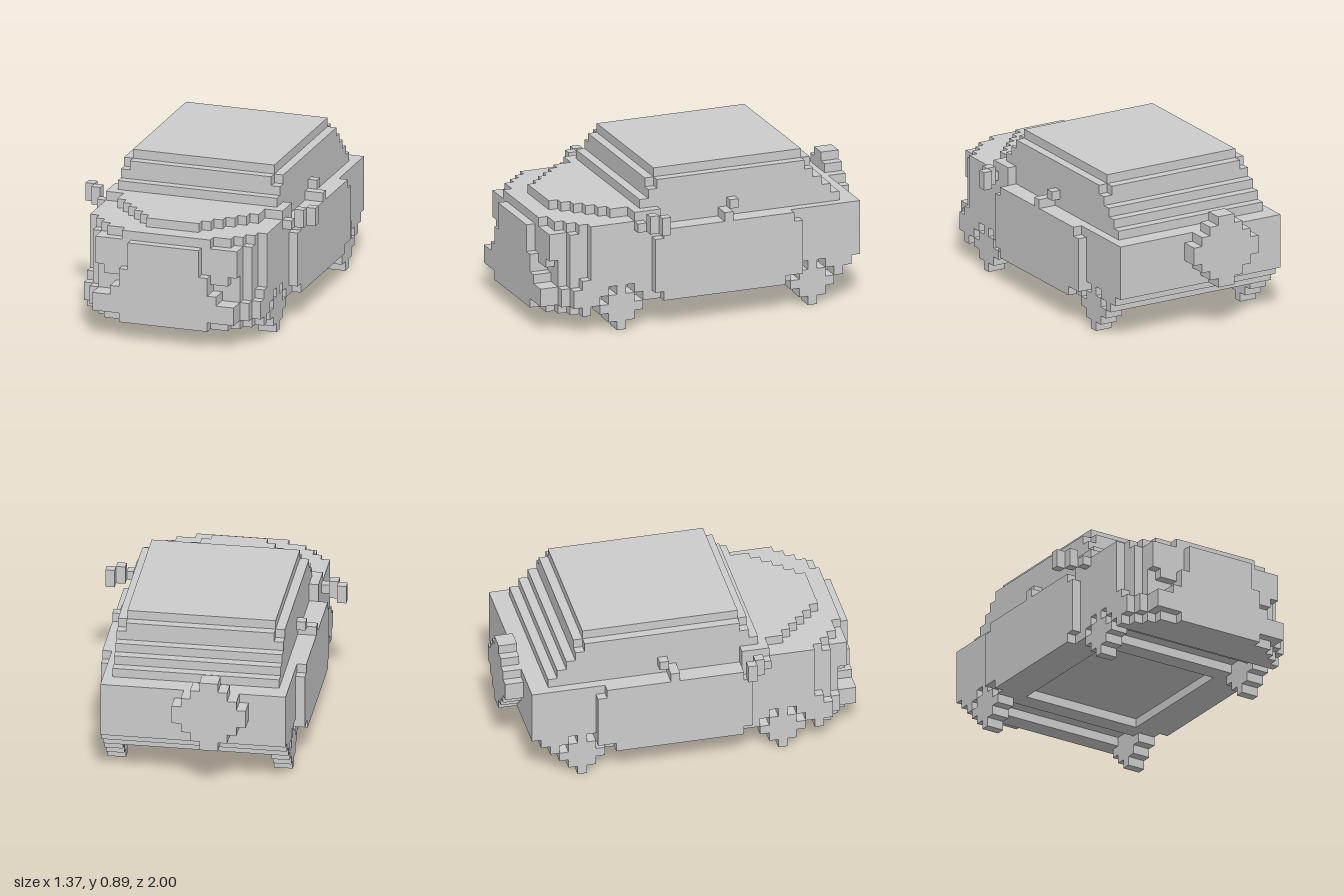
import * as THREE from 'three';

const U = 2 / 38; // one block

export function createModel() {
  const car = new THREE.Group();
  const material = new THREE.MeshStandardMaterial({ color: 0xcccccc, flatShading: true });

  function part(name) {
    const group = new THREE.Group();
    group.name = name;
    car.add(group);
    return group;
  }

  // Box given by its limits in blocks
  function box(group, name, x0, x1, y0, y1, z0, z1) {
    const mesh = new THREE.Mesh(
      new THREE.BoxGeometry((x1 - x0) * U, (y1 - y0) * U, (z1 - z0) * U), material);
    mesh.position.set((x0 + x1) / 2 * U, (y0 + y1) / 2 * U, (z0 + z1) / 2 * U);
    mesh.name = name;
    group.add(mesh);
  }

  // Box centred on x
  const slab = (group, name, half, y0, y1, z0, z1) =>
    box(group, name, -half, half, y0, y1, z0, z1);

  // The same box on both sides of the car
  function pair(group, name, x0, x1, y0, y1, z0, z1) {
    box(group, name + 'Left', x0, x1, y0, y1, z0, z1);
    box(group, name + 'Right', -x1, -x0, y0, y1, z0, z1);
  }

  // Lower body with stepped wheel arches
  const body = part('body');
  slab(body, 'mainBody', 10, 5, 11, -17, 14);
  slab(body, 'tailStep', 10, 4, 5, -16, -13);
  slab(body, 'tailBottom', 10, 3, 4, -15, -14);
  slab(body, 'frontArchStep', 10, 4, 5, 12, 14);
  slab(body, 'frontArchBottom', 10, 3, 4, 13, 14);

  // Axle tunnels between the wheels
  for (const z of [10.5, -11.5]) {
    slab(body, 'axleTunnelRoof', 8, 4, 5, z - 1.5, z + 1.5);
    slab(body, 'axleTunnelRear', 8, 3, 4, z - 2.5, z - 1.5);
    slab(body, 'axleTunnelFront', 8, 3, 4, z + 1.5, z + 2.5);
  }

  // Floor with a shallow recess underneath
  slab(body, 'floor', 10, 4, 5, -10, 9);
  slab(body, 'floorRear', 10, 3, 4, -9, -8);
  slab(body, 'floorFront', 10, 3, 4, 7, 8);
  pair(body, 'floorSide', 7, 10, 3, 4, -8, 7);

  // Rounded nose: half width, bottom, top, back, front
  const nose = part('nose');
  [
    [10, 2, 3, 14, 15], [9, 2, 3, 15, 16], [8, 2, 3, 16, 17], [7, 2, 3, 17, 18], [5, 2, 3, 18, 19],
    [10, 3, 5, 14, 16], [9, 3, 5, 16, 17], [8, 3, 5, 17, 19],
    [10, 5, 6, 14, 15], [9, 5, 11, 14, 16], [8, 5, 11, 16, 17],
    [6, 5, 6, 17, 19], [5, 6, 8, 17, 19], [4, 8, 11, 17, 19],
  ].forEach(([half, y0, y1, z0, z1]) => slab(nose, 'noseBlock', half, y0, y1, z0, z1));

  // Headlights beside the centre panel
  const headlights = part('headlights');
  pair(headlights, 'headlight', 4, 8, 8, 11, 17, 18);
  pair(headlights, 'headlightBase', 5, 7, 7, 8, 17, 18);

  // Bonnet with a rounded base and a tapering upper layer
  const bonnet = part('bonnet');
  [[10, 6, 14], [9, 14, 15], [8, 15, 16], [7, 16, 17], [5, 17, 18]].forEach(
    ([half, z0, z1]) => slab(bonnet, 'bonnetBase', half, 11, 12, z0, z1));
  [[10, 6, 9], [8, 9, 11], [7, 11, 12], [6, 12, 13], [5, 13, 14], [4, 14, 15], [3, 15, 16]].forEach(
    ([half, z0, z1]) => slab(bonnet, 'bonnetTop', half, 12, 13, z0, z1));

  // Cabin and roof: half width, bottom, top, back, front
  const cabin = part('cabin');
  [
    [9, 11, 12, -15, 7], [9, 12, 13, -14, 7], [9, 13, 14, -13, 8],
    [9, 14, 15, -12, 7], [9, 15, 16, -11, 6], [8, 15, 16, -12, 7],
  ].forEach(([half, y0, y1, z0, z1]) => slab(cabin, 'cabinLayer', half, y0, y1, z0, z1));
  slab(cabin, 'roof', 8, 16, 17, -11, 6);

  // Raised doors
  const doors = part('doors');
  pair(doors, 'door', 10, 11, 4, 10, -10, 7);
  pair(doors, 'doorTop', 10, 11, 10, 11, -9, 6);
  pair(doors, 'doorBottom', 10, 11, 3, 4, -8, 6);

  // Door handles
  const handles = part('doorHandles');
  pair(handles, 'handleBase', 9, 11, 11, 12, -2, -1);
  pair(handles, 'handleTip', 9, 10, 12, 13, -3, -2);

  // Mirrors, stepping outwards and back
  const mirrors = part('mirrors');
  pair(mirrors, 'mirrorArm', 10, 11, 11, 12, 8, 9);
  pair(mirrors, 'mirrorInner', 11, 12, 11, 13, 7, 8);
  pair(mirrors, 'mirrorOuter', 12, 13, 11, 13, 6, 7);

  // Wheels built from rows of blocks
  const wheels = part('wheels');
  for (const z of [10.5, -11.5]) {
    [0.5, 1.5, 2.5, 1.5, 0.5].forEach((half, y) =>
      pair(wheels, z > 0 ? 'frontWheel' : 'rearWheel', 8, 10, y, y + 1, z - half, z + half));
  }

  // Spare wheel on the tail, off centre
  const spare = part('spareWheel');
  [1, 2, 3, 4, 4, 3, 2, 1].forEach((half, i) =>
    box(spare, 'spareWheelRow', -2 - half, -2 + half, 5 + i, 6 + i, -19, -17));

  return car;
}
